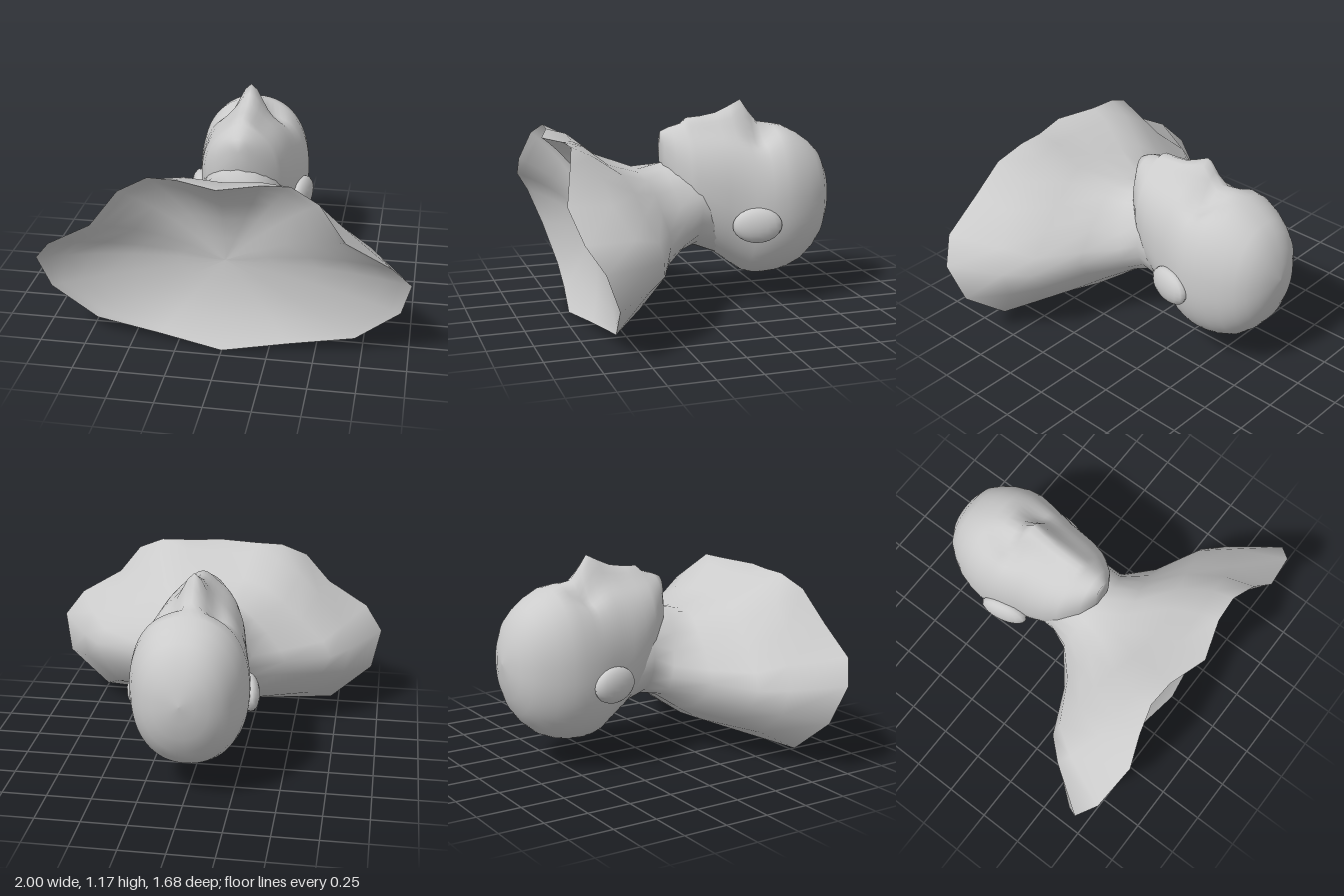
import * as THREE from 'three';

const material = new THREE.MeshStandardMaterial({ color: 0xcccccc });

// Skin a list of closed rings (each an array of [x, y, z]) into one smooth surface
function loft(name, rings) {
  const n = rings[0].length;
  const index = [];
  for (let i = 0; i < rings.length - 1; i++) {
    for (let j = 0; j < n; j++) {
      const k = (j + 1) % n;
      const a = i * n + j, b = i * n + k, c = a + n, d = b + n;
      index.push(a, b, c, b, d, c);
    }
  }
  const geometry = new THREE.BufferGeometry();
  geometry.setAttribute('position', new THREE.Float32BufferAttribute(rings.flat(2), 3));
  geometry.setIndex(index);
  geometry.computeVertexNormals();
  const mesh = new THREE.Mesh(geometry, material);
  mesh.name = name;
  return mesh;
}

// Complete a half ring (front midline, round the left side, to the back midline)
const mirror = (half) => [
  ...half,
  ...half.slice(1, -1).reverse().map(([x, y, z]) => [-x, y, z]),
];

// Half an ellipse with the same point count as the torso sections
const ellipse = (z, w, top, bottom) => Array.from({ length: 11 }, (_, i) => {
  const a = (i / 10) * Math.PI;
  return [w * Math.sin(a), (top + bottom) / 2 + ((top - bottom) / 2) * Math.cos(a), z];
});

// Cut edge of the bust
const rim = [
  [0, 1.01, 0.83], [0.22, 1.02, 0.76], [0.37, 1.02, 0.75], [0.52, 0.95, 0.79],
  [0.66, 0.77, 0.84], [0.9, 0.63, 0.81], [1, 0.5, 0.73], [0.95, 0.29, 0.65],
  [0.71, 0.09, 0.61], [0.35, 0.045, 0.65], [0, 0, 0.7],
];

// Chest, shoulders and base of the neck
const sections = [
  [[0, 0.98, 0.66], [0.2, 0.99, 0.65], [0.36, 0.96, 0.63], [0.5, 0.87, 0.62],
    [0.62, 0.75, 0.6], [0.77, 0.6, 0.52], [0.82, 0.47, 0.47], [0.79, 0.33, 0.45],
    [0.6, 0.18, 0.45], [0.3, 0.13, 0.44], [0, 0.1, 0.47]],
  [[0, 0.87, 0.52], [0.17, 0.87, 0.5], [0.3, 0.84, 0.46], [0.42, 0.76, 0.42],
    [0.53, 0.66, 0.4], [0.66, 0.55, 0.36], [0.71, 0.46, 0.35], [0.66, 0.36, 0.33],
    [0.45, 0.24, 0.32], [0.22, 0.18, 0.31], [0, 0.16, 0.32]],
  [[0, 0.8, 0.3], [0.1, 0.8, 0.3], [0.18, 0.77, 0.28], [0.26, 0.71, 0.26],
    [0.34, 0.63, 0.25], [0.42, 0.53, 0.23], [0.45, 0.46, 0.23], [0.4, 0.38, 0.22],
    [0.28, 0.29, 0.21], [0.14, 0.25, 0.2], [0, 0.24, 0.2]],
  [[0, 0.83, 0.16], [0.09, 0.81, 0.16], [0.15, 0.77, 0.15], [0.2, 0.71, 0.13],
    [0.24, 0.62, 0.11], [0.27, 0.54, 0.09], [0.265, 0.47, 0.08], [0.23, 0.4, 0.08],
    [0.16, 0.355, 0.08], [0.08, 0.335, 0.08], [0, 0.33, 0.1]],
];

// Head sections from chin to crown: z, half width, face height, back height, ridge height
const headSections = [
  [0.15, 0, 0.93, 0.93, 0], [0.15, 0.06, 1.01, 0.8, 0], [0.1, 0.14, 1.02, 0.62, 0.01],
  [0.03, 0.2, 1.02, 0.5, 0.03], [0, 0.22, 1.02, 0.45, 0.06], [-0.08, 0.25, 1.02, 0.36, 0.065],
  [-0.17, 0.268, 1.02, 0.28, 0.08], [-0.25, 0.28, 1.02, 0.22, 0.115],
  [-0.32, 0.3, 1.01, 0.17, 0.16], [-0.37, 0.31, 1.0, 0.155, 0.1],
  [-0.42, 0.32, 1.0, 0.15, 0.04], [-0.5, 0.325, 1.02, 0.155, 0.005],
  [-0.57, 0.315, 1.01, 0.17, 0], [-0.65, 0.29, 0.97, 0.205, 0], [-0.72, 0.25, 0.92, 0.265, 0],
  [-0.77, 0.21, 0.87, 0.33, 0], [-0.81, 0.15, 0.79, 0.42, 0],
  [-0.835, 0.08, 0.71, 0.52, 0], [-0.845, 0, 0.62, 0.62, 0],
];

function headRing([z, w, top, bottom, ridge]) {
  const power = (v) => Math.sign(v) * Math.abs(v) ** 0.9;
  return Array.from({ length: 64 }, (_, i) => {
    const a = (i / 64) * Math.PI * 2;
    const x = w * power(Math.sin(a));
    let y = (top + bottom) / 2 + ((top - bottom) / 2) * power(Math.cos(a));
    if (Math.cos(a) > 0) {
      // Nose and lip ridge along the midline, with an eye socket on each side
      y += ridge * Math.exp(-((x / 0.08) ** 2));
      y -= 0.045 * Math.exp(-(((Math.abs(x) - 0.13) / 0.07) ** 2) - ((z + 0.39) / 0.07) ** 2);
    }
    return [x, y, z];
  });
}

// Ear: a flattened ellipsoid, widest towards the crown
function ear(side) {
  const geometry = new THREE.SphereGeometry(1, 16, 12);
  geometry.scale(0.055, 0.1, 0.14);
  const mesh = new THREE.Mesh(geometry, material);
  mesh.position.set(side * 0.305, 0.5, -0.32);
  mesh.rotation.y = -side * 0.22;
  mesh.name = side > 0 ? 'leftEar' : 'rightEar';
  return mesh;
}

export function createModel() {
  const group = new THREE.Group();
  group.name = 'bust';

  // Shoulders and neck, the neck ending inside the head
  const body = [rim, ...sections, ellipse(-0.02, 0.24, 0.84, 0.345), ellipse(-0.2, 0.22, 0.84, 0.27)];
  group.add(loft('shouldersAndNeck', body.map(mirror)));

  // Shallow hollow closing the cut edge, from its middle outwards
  const edge = mirror(rim);
  const hollow = [0, 0.25, 0.5, 0.7, 0.85, 0.94, 1].map((t) => edge.map(([x, y, z]) => [
    x * t, 0.48 + (y - 0.48) * t, THREE.MathUtils.lerp(0.56, z, t ** 2.5),
  ]));
  group.add(loft('hollowBase', hollow));

  group.add(loft('head', headSections.map(headRing)));
  group.add(ear(1), ear(-1));
  return group;
}
